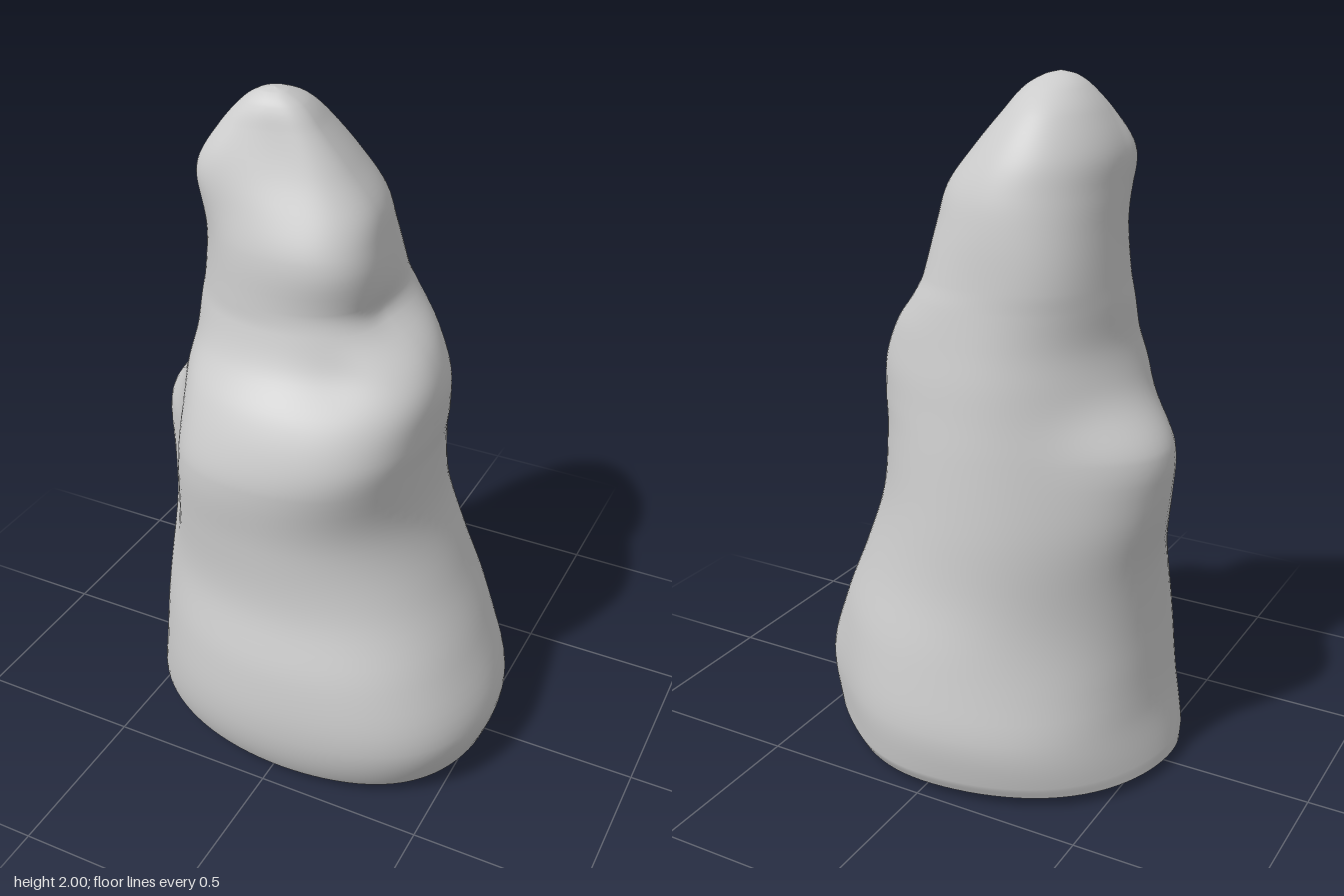
import * as THREE from 'three';

// Cross-sections: [height, left x, right x, front z, back z, centre x, centre z]
const SECTIONS = [
  [0.00, -0.575, 0.505, 0.41, -0.475, 0.00, 0.02],
  [0.04, -0.57, 0.535, 0.465, -0.49, 0.01, 0.03],
  [0.20, -0.535, 0.57, 0.505, -0.505, 0.01, 0.05],
  [0.40, -0.52, 0.50, 0.49, -0.475, 0.00, 0.04],
  [0.60, -0.51, 0.41, 0.435, -0.43, -0.03, 0.02],
  [0.80, -0.48, 0.34, 0.425, -0.405, -0.05, 0.02],
  [1.00, -0.445, 0.33, 0.435, -0.38, -0.05, 0.03],
  [1.10, -0.43, 0.34, 0.415, -0.365, -0.05, 0.03],
  [1.20, -0.42, 0.335, 0.37, -0.35, -0.05, 0.03],
  [1.30, -0.40, 0.29, 0.295, -0.33, -0.06, 0.03],
  [1.40, -0.39, 0.21, 0.255, -0.31, -0.08, 0.02],
  [1.46, -0.38, 0.175, 0.245, -0.30, -0.10, 0.01],
  [1.60, -0.365, 0.15, 0.235, -0.285, -0.10, 0.01],
  [1.70, -0.36, 0.13, 0.21, -0.265, -0.11, 0.02],
  [1.80, -0.35, 0.06, 0.175, -0.225, -0.14, 0.03],
  [1.90, -0.30, -0.02, 0.13, -0.155, -0.16, 0.04],
  [1.96, -0.25, -0.07, 0.10, -0.08, -0.16, 0.04],
  [1.99, -0.205, -0.12, 0.07, -0.01, -0.16, 0.04],
  [2.00, -0.16, -0.16, 0.04, 0.04, -0.16, 0.04],
];

// Lumps and hollows: [angle from +x towards +z, height, angular spread, vertical spread, depth]
const LUMPS = [
  [3.35, 1.02, 0.33, 0.085, 0.08],  // knob on the right flank
  [3.35, 0.86, 0.33, 0.12, 0.07],   // its lower half
  [2.62, 0.86, 0.18, 0.17, -0.03],  // crease in front of the knob
  [2.15, 0.95, 0.35, 0.18, 0.025],  // full front beside the crease
  [0.15, 1.41, 0.35, 0.04, -0.035], // notch above the shoulder
  [0.95, 1.29, 0.25, 0.05, -0.015], // notch running down towards the front
  [0.40, 1.27, 0.35, 0.07, 0.025],  // shoulder
  [0.80, 1.08, 0.35, 0.10, 0.03],   // shoulder front
  [0.70, 1.58, 0.40, 0.09, 0.035],  // lump above the notch
  [-0.85, 1.43, 0.38, 0.11, 0.03],  // slope that runs past the notch at the back
  [0.75, 0.22, 0.35, 0.25, 0.04],   // full front corner of the foot
  [-0.85, 0.16, 0.30, 0.16, -0.04], // flattened back corner
  [3.95, 0.14, 0.35, 0.14, 0.03],   // full back corner
  [3.95, 0.52, 0.35, 0.12, -0.015], // waist above it
  [3.95, 1.52, 0.35, 0.14, 0.018],
  [1.25, 1.80, 0.45, 0.10, -0.025], // flattened face of the peak
  [2.45, 1.79, 0.25, 0.09, 0.042],  // ridge beside the flattened face
];

// Smooth interpolation through the cross-sections, with slopes taken per height
function sectionAt(t) {
  const last = SECTIONS.length - 1;
  const i = Math.min(Math.floor(t), last - 1), f = t - i;
  const [a, b, c, d] = [i - 1, i, i + 1, i + 2].map(
    (k) => SECTIONS[THREE.MathUtils.clamp(k, 0, last)]);
  const span = c[0] - b[0], f2 = f * f, f3 = f2 * f;
  return b.map((p, k) => {
    const m0 = (c[k] - a[k]) / (c[0] - a[0]) * span;
    const m1 = (d[k] - p) / (d[0] - b[0]) * span;
    return (2 * f3 - 3 * f2 + 1) * p + (f3 - 2 * f2 + f) * m0
      + (3 * f2 - 2 * f3) * c[k] + (f3 - f2) * m1;
  });
}

function surfacePoint(t, angle) {
  const [y, left, right, front, back, cx, cz] = sectionAt(t);
  const c = Math.cos(angle), s = Math.sin(angle);
  let push = 0;
  for (const [a, h, sa, sh, depth] of LUMPS) {
    const da = Math.atan2(Math.sin(angle - a), Math.cos(angle - a)) / sa;
    const dh = (y - h) / sh;
    push += depth * Math.exp(-(da * da + dh * dh) / 2);
  }
  const x = cx + c * ((c > 0 ? right - cx : cx - left) + push);
  const z = cz + s * ((s > 0 ? front - cz : cz - back) + push);
  // The underside tilts slightly
  const tilt = (0.02 - 0.022 * x - 0.025 * z) * Math.max(0, 1 - y / 0.3);
  return [x, Math.max(0, y + tilt), z];
}

export function createModel() {
  const group = new THREE.Group();
  group.name = 'rock';
  const material = new THREE.MeshStandardMaterial({ color: 0xcccccc });
  const around = 96, steps = 6, rows = (SECTIONS.length - 1) * steps;
  const positions = [], indices = [];

  // Side wall from foot to peak
  for (let j = 0; j < rows; j++) {
    for (let i = 0; i < around; i++) {
      positions.push(...surfacePoint(j / steps, (i / around) * Math.PI * 2));
      if (j === rows - 1) continue;
      const n = (i + 1) % around;
      const a = j * around + i, b = j * around + n;
      indices.push(a, a + around, b, b, a + around, b + around);
    }
  }
  const peak = positions.length / 3;
  positions.push(-0.16, 2, 0.04);
  for (let i = 0; i < around; i++) {
    const a = (rows - 1) * around;
    indices.push(a + i, peak, a + (i + 1) % around);
  }
  const wall = new THREE.BufferGeometry();
  wall.setAttribute('position', new THREE.Float32BufferAttribute(positions, 3));
  wall.setIndex(indices);
  wall.computeVertexNormals();
  const body = new THREE.Mesh(wall, material);
  body.name = 'rockBody';
  group.add(body);

  // Flat underside
  const basePoints = [0, 0.02, 0, ...positions.slice(0, around * 3)];
  const baseFaces = [];
  for (let i = 0; i < around; i++) baseFaces.push(0, 1 + i, 1 + (i + 1) % around);
  const base = new THREE.BufferGeometry();
  base.setAttribute('position', new THREE.Float32BufferAttribute(basePoints, 3));
  base.setIndex(baseFaces);
  base.computeVertexNormals();
  const underside = new THREE.Mesh(base, material);
  underside.name = 'underside';
  group.add(underside);
  return group;
}
